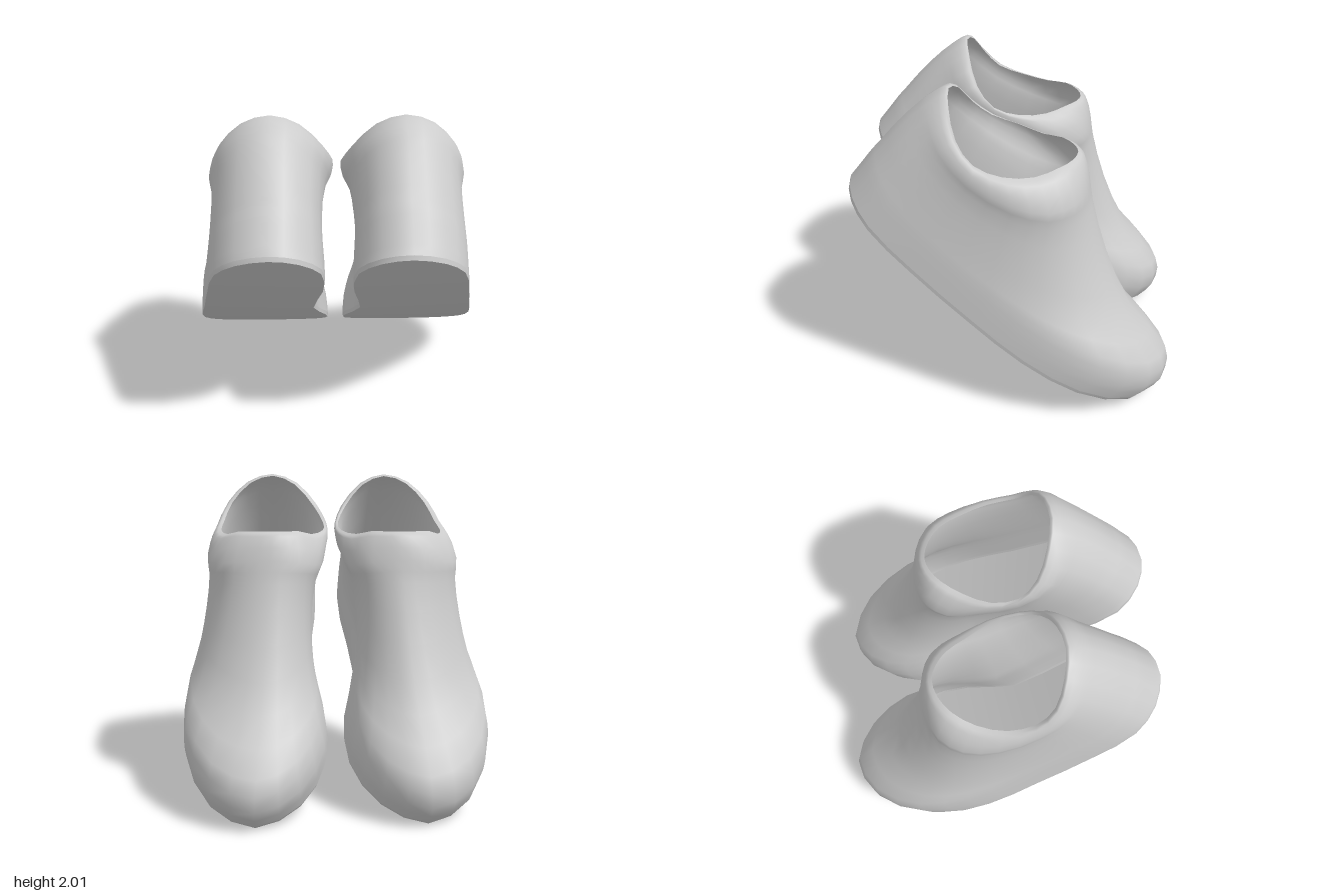
import * as THREE from 'three';

const N = 32;            // columns around the shoe
const ROWS = 16;         // rows from sole to collar
const LENGTH = 2.33;     // sole length

// Shoe space (s along the sole from heel, h above it) to the toe-down pose
const place = (x, s, h) => new THREE.Vector3(x, 1.4 - 0.6 * s + 0.8 * h, 0.98 - 0.8 * s - 0.6 * h);
const soleHeight = (s) => -0.085 * Math.sin(Math.PI * s / LENGTH);

// Sole outline [x, s]: heel, outer side, toe, inner side
const OUTLINE = [
  [0.38, -0.005], [0.56, 0.06], [0.69, 0.22], [0.77, 0.55], [0.85, 1.0], [0.92, 1.4], [0.915, 1.8], [0.75, 2.18],
  [0.49, 2.335], [0.23, 2.19], [0.07, 1.87], [0.065, 1.5], [0.15, 1.1], [0.09, 0.6], [0.10, 0.22], [0.22, 0.05],
];
// Collar edge [x, y, z], in the same order
const COLLAR = [
  [0.38, 2.0, 0.355], [0.53, 1.95, 0.335], [0.65, 1.82, 0.285], [0.70, 1.70, 0.19],
  [0.71, 1.64, 0.03], [0.66, 1.62, -0.14], [0.58, 1.64, -0.27], [0.48, 1.64, -0.345],
  [0.38, 1.64, -0.37], [0.30, 1.64, -0.345], [0.22, 1.64, -0.28], [0.14, 1.62, -0.16],
  [0.06, 1.64, 0.0], [0.05, 1.69, 0.16], [0.11, 1.80, 0.265], [0.23, 1.94, 0.325],
];
// Rings between sole and collar: rise, inward travel at heel and at toe,
// side fullness, outward bulge, and pinch of the inner arch
const RINGS = [
  { rise: 0.17, heel: 0.03, toe: -0.005, side: 0, bulge: 0, pinch: 0.02 },
  { rise: 0.30, heel: 0.05, toe: 0.08, side: 0, bulge: 0, pinch: 0.06 },
  { rise: 0.39, heel: 0.10, toe: 0.34, side: 0.03, bulge: 0, pinch: 0.08 },
  { rise: 0.59, heel: 0.20, toe: 0.60, side: 0.02, bulge: 0, pinch: 0.07 },
  { rise: 0.81, heel: 0.42, toe: 0.81, side: 0.05, bulge: 0.01, pinch: 0.03 },
  { rise: 0.91, heel: 0.60, toe: 0.885, side: 0.08, bulge: 0.035, pinch: 0 },
  { rise: 1.00, heel: 0.85, toe: 0.965, side: 0, bulge: 0.03, pinch: 0 },
];

// Smooth closed loop through the points, sampled at N columns
function loop(points) {
  const curve = new THREE.CatmullRomCurve3(points, true);
  return Array.from({ length: N }, (_, i) => curve.getPoint(i / N));
}

// Sole loop, optionally shrunk and lifted
const soleLoop = (inset, lift) => loop(OUTLINE.map(([x, s]) => {
  const k = 1 - inset;
  const s2 = LENGTH / 2 + (s - LENGTH / 2) * k;
  return place(0.48 + (x - 0.48) * k, s2, soleHeight(s2) + lift);
}));

// One ring of the upper, drawn in from the sole towards the collar
function upperLoop({ rise, heel, toe, side, bulge, pinch }) {
  return loop(OUTLINE.map(([x, s], i) => {
    const a = (2 * Math.PI * i) / OUTLINE.length;
    const [cx, cy, cz] = COLLAR[i];
    const cs = (0.98 - cz) * 0.8 + (1.4 - cy) * 0.6;
    const ch = (0.98 - cz) * 0.6 + (cy - 1.4) * 0.8;
    const front = (1 - Math.cos(a)) / 2;
    const w = THREE.MathUtils.lerp(heel, toe, front) - side * Math.sin(a) ** 2;
    const arch = pinch * front * Math.max(0, -Math.sin(a));
    return place(
      THREE.MathUtils.lerp(x, cx, w) + bulge * Math.sin(a) + arch,
      THREE.MathUtils.lerp(s, cs, w),
      THREE.MathUtils.lerp(soleHeight(s), ch, rise),
    );
  }));
}

// Geometry from points and triangles, mirrored when side is -1
function surface(points, triangles, side) {
  const geometry = new THREE.BufferGeometry();
  geometry.setFromPoints(points.map((p) => new THREE.Vector3(p.x * side, p.y, p.z)));
  geometry.setIndex(triangles.flatMap(([a, b, c]) => (side > 0 ? [a, b, c] : [a, c, b])));
  geometry.computeVertexNormals();
  return geometry;
}

// Skin over a stack of closed loops
function skin(loops, side) {
  const triangles = [];
  for (let j = 0; j < loops.length - 1; j++) {
    for (let i = 0; i < N; i++) {
      const a = j * N + i, b = j * N + (i + 1) % N;
      triangles.push([a, b, b + N], [a, b + N, a + N]);
    }
  }
  return surface(loops.flat(), triangles, side);
}

// Underside: strips joining the outer and inner edges
function underside(edge, side) {
  const triangles = [];
  for (let i = 0; i < N / 2; i++) {
    const m0 = (N - i) % N, m1 = N - i - 1;
    if (i > 0) triangles.push([i, m0, m1]);
    if (i < N / 2 - 1) triangles.push([i, m1, i + 1]);
  }
  return surface(edge, triangles, side);
}

function makeShoe(side) {
  const material = new THREE.MeshStandardMaterial({ color: 0xcccccc, side: THREE.DoubleSide });
  const shoe = new THREE.Group();
  const add = (name, geometry) => {
    const mesh = new THREE.Mesh(geometry, material);
    mesh.name = name;
    shoe.add(mesh);
  };

  const bottom = soleLoop(0.008, 0);
  const welt = soleLoop(0, 0.025);
  add('soleUnderside', underside(bottom, side));
  add('soleEdge', skin([bottom, welt], side));

  // Upper: every column is a smooth curve from the sole edge to the collar
  const controls = [welt, ...RINGS.map(upperLoop), loop(COLLAR.map((p) => new THREE.Vector3(...p)))];
  const columns = welt.map((_, i) => new THREE.CatmullRomCurve3(controls.map((ring) => ring[i])));
  const rows = [];
  for (let j = 0; j <= ROWS; j++) rows.push(columns.map((c) => c.getPoint(j / ROWS)));
  add('upper', skin(rows, side));
  return shoe;
}

export function createModel() {
  const model = new THREE.Group();
  model.name = 'pairOfShoes';
  for (const [name, side] of [['leftShoe', 1], ['rightShoe', -1]]) {
    const shoe = makeShoe(side);
    shoe.name = name;
    model.add(shoe);
  }
  return model;
}
